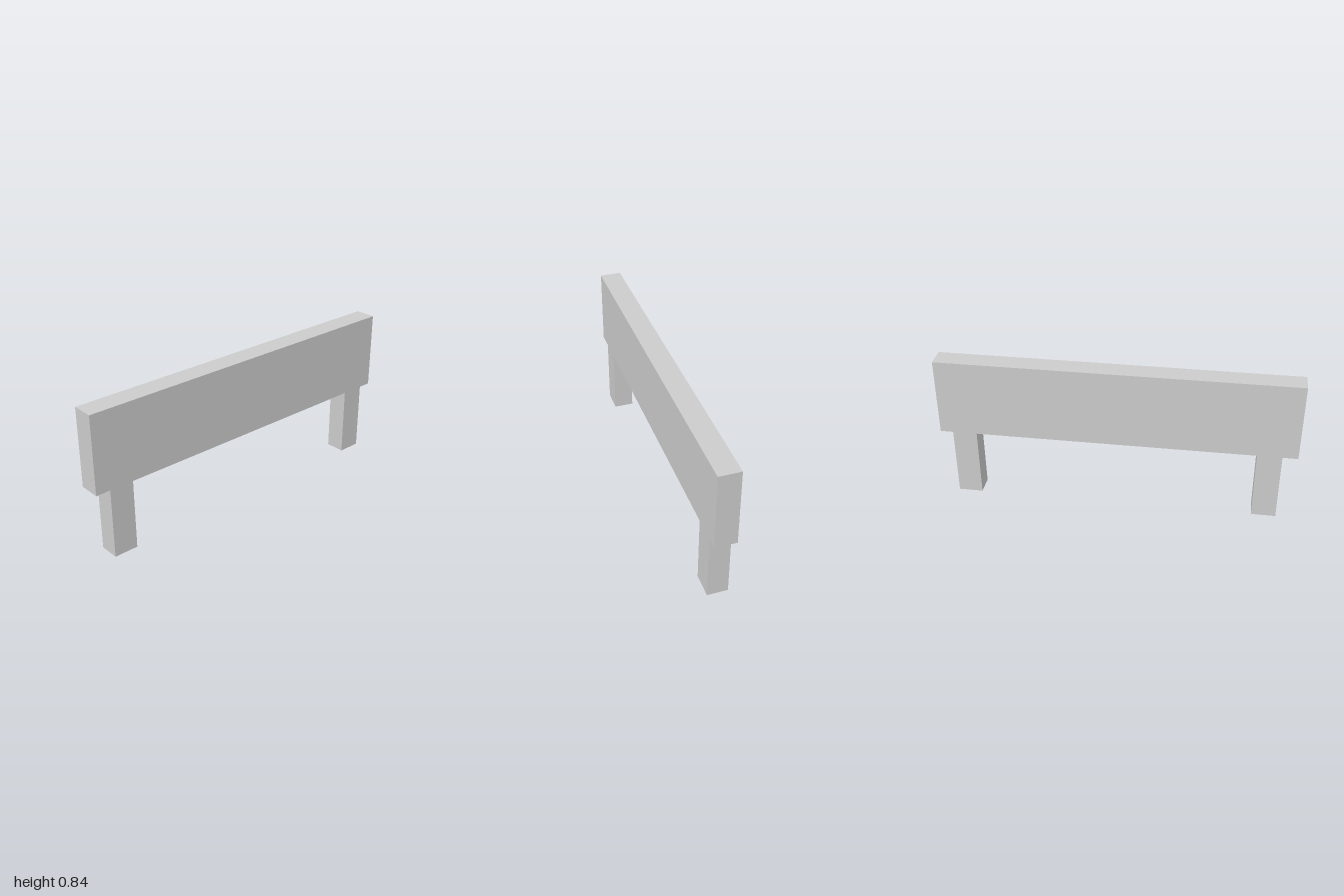
import * as THREE from 'three';

export function createModel() {
  const model = new THREE.Group();
  const material = new THREE.MeshStandardMaterial({ color: 0xcccccc, flatShading: true });

  // Box standing on height y
  function addBlock(name, width, height, depth, x, y, z) {
    const mesh = new THREE.Mesh(new THREE.BoxGeometry(width, height, depth), material);
    mesh.name = name;
    mesh.position.set(x, y + height / 2, z);
    model.add(mesh);
  }

  const legHeight = 0.402;

  // Long upright panel
  addBlock('panel', 0.12, 0.441, 2, 0, legHeight, 0);

  // Two posts, slightly narrower than the panel
  const posts = { frontLeg: 0.847, backLeg: -0.86 };
  for (const [name, z] of Object.entries(posts)) {
    addBlock(name, 0.114, legHeight, 0.137, -0.001, 0, z);
  }

  return model;
}
